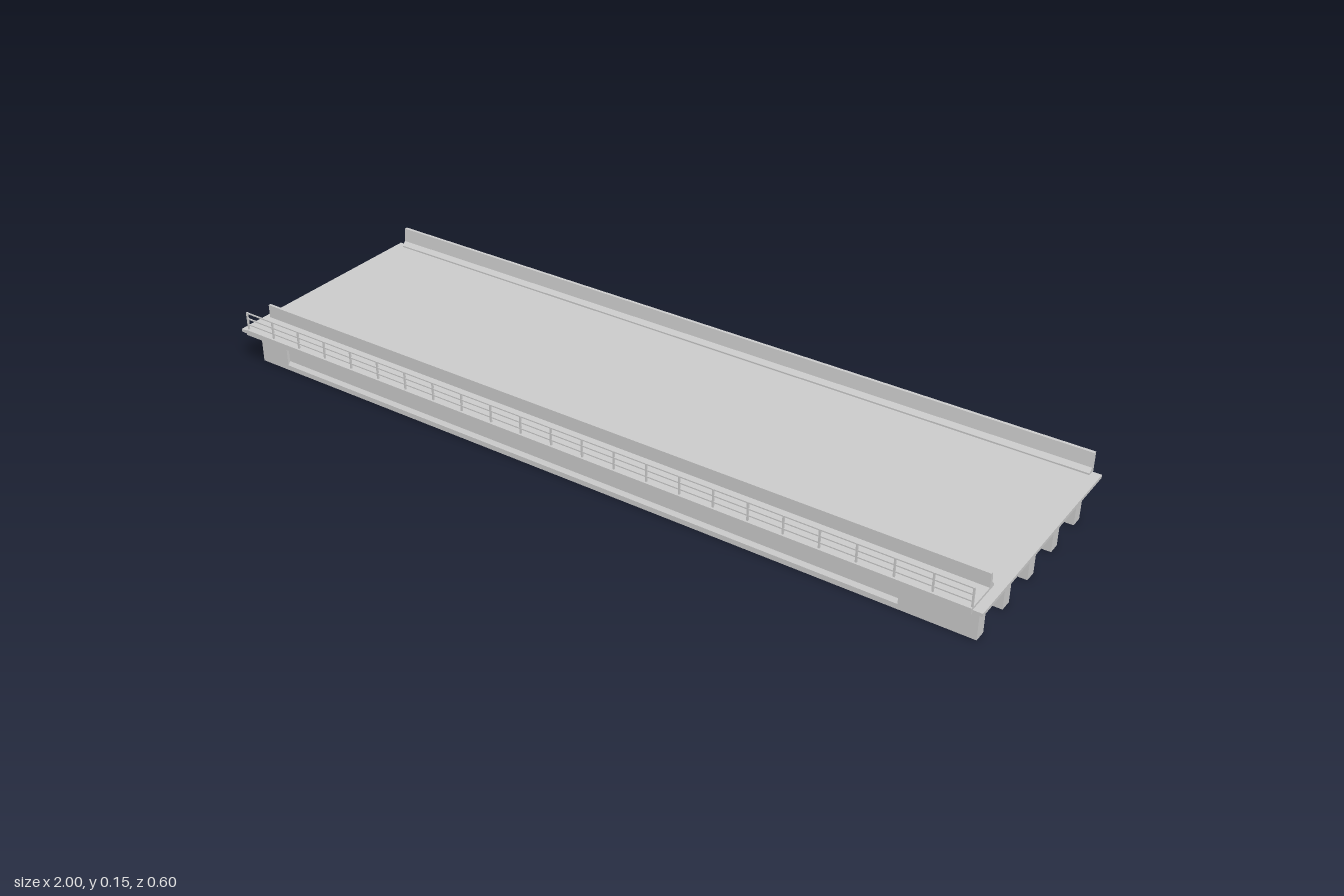
import * as THREE from 'three';

const material = new THREE.MeshStandardMaterial({ color: 0xcccccc, flatShading: true });

// Extrudes a [z, y] profile along x between x0 and x1.
function extrudeX(name, profile, x0, x1) {
  const shape = new THREE.Shape(profile.map(([z, y]) => new THREE.Vector2(-z, y)));
  const geometry = new THREE.ExtrudeGeometry(shape, { depth: x1 - x0, bevelEnabled: false });
  geometry.rotateY(Math.PI / 2).translate(x0, 0, 0);
  const mesh = new THREE.Mesh(geometry, material);
  mesh.name = name;
  return mesh;
}

function box(name, [x0, x1], [y0, y1], [z0, z1]) {
  const mesh = new THREE.Mesh(new THREE.BoxGeometry(x1 - x0, y1 - y0, z1 - z0), material);
  mesh.position.set((x0 + x1) / 2, (y0 + y1) / 2, (z0 + z1) / 2);
  mesh.name = name;
  return mesh;
}

// Completes a half section by mirroring it across z = 0.
const mirrored = (half) => [...half, ...half.map(([z, y]) => [-z, y]).reverse()];

// Girder with solid end blocks and an I-section between them.
function girder() {
  const group = new THREE.Group();
  group.name = 'girder';
  const flange = [[0.026, 0.085], [0.026, 0.093]];
  const solid = mirrored([[0.015, 0], [0.015, 0.081], ...flange]);
  const iBeam = mirrored([[0.015, 0], [0.015, 0.013], [0.008, 0.022], [0.008, 0.078], ...flange]);
  group.add(
    extrudeX('girderEndBlock', solid, -0.978, -0.893),
    extrudeX('girderSpan', iBeam, -0.893, 0.802),
    extrudeX('girderEndBlock', solid, 0.802, 0.978)
  );
  return group;
}

// Footway railing: evenly spaced posts and three rails.
function railing() {
  const group = new THREE.Group();
  group.name = 'railing';
  const panels = 23, end = 0.976;
  for (let i = 0; i <= panels; i++) {
    const x = -end + (2 * end * i) / panels;
    group.add(box('railingPost', [x - 0.002, x + 0.002], [0.107, 0.153], [0.291, 0.295]));
  }
  for (const y of [0.12, 0.136, 0.1515]) {
    group.add(box('railingBar', [-0.978, 0.978], [y - 0.0015, y + 0.0015], [0.2915, 0.2945]));
  }
  return group;
}

export function createModel() {
  const bridge = new THREE.Group();
  bridge.name = 'bridgeSpan';

  bridge.add(box('deck', [-1, 1], [0.093, 0.101], [-0.295, 0.295]));

  // Five girders
  const spacing = 0.12;
  for (let i = -2; i <= 2; i++) {
    const beam = girder();
    beam.position.z = i * spacing;
    bridge.add(beam);
  }

  // Cross walls in each bay between girders
  for (const x of [-0.93, -0.49, 0, 0.49, 0.93]) {
    for (let i = -2; i < 2; i++) {
      bridge.add(box('diaphragm', [x - 0.01, x + 0.01], [0.023, 0.093],
        [i * spacing + 0.007, (i + 1) * spacing - 0.007]));
    }
  }

  // Footway with its edge beam
  bridge.add(extrudeX('footway', [[0.215, 0.101], [0.295, 0.101], [0.295, 0.093],
    [0.3, 0.093], [0.3, 0.107], [0.215, 0.107]], -0.978, 0.978));

  // Sloped traffic barriers
  bridge.add(extrudeX('frontBarrier', [[0.2, 0.101], [0.219, 0.101], [0.219, 0.141],
    [0.212, 0.141], [0.209, 0.115], [0.2, 0.106]], -0.978, 0.978));
  bridge.add(extrudeX('backBarrier', [[-0.3, 0.093], [-0.295, 0.093], [-0.295, 0.101],
    [-0.278, 0.101], [-0.278, 0.105], [-0.288, 0.115], [-0.292, 0.15], [-0.3, 0.15]], -0.978, 0.978));

  bridge.add(railing());
  return bridge;
}
